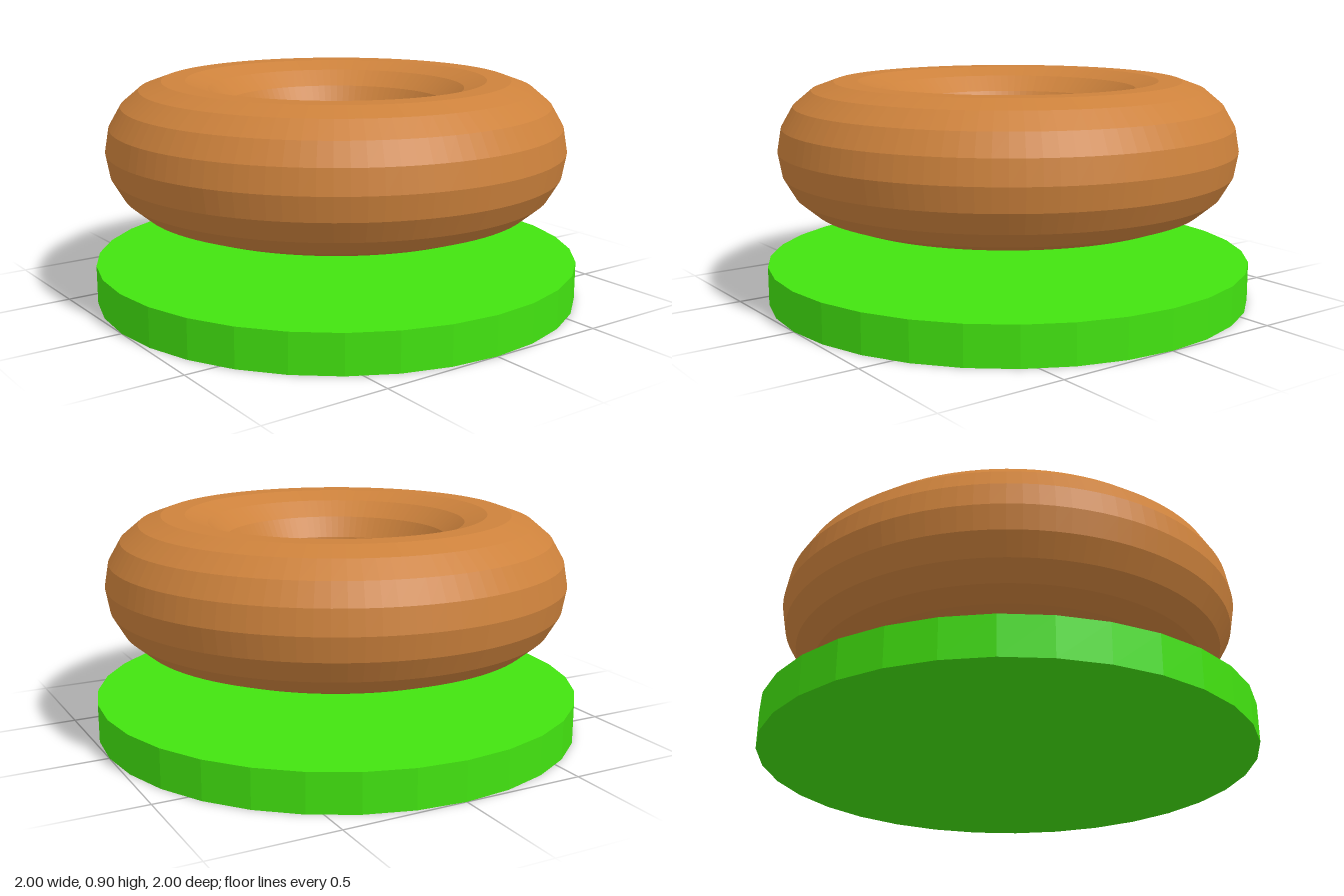
import * as THREE from 'three';

export function createModel() {
  const model = new THREE.Group();
  const flat = (name, color) => {
    const m = new THREE.MeshStandardMaterial({ color, flatShading: true });
    m.name = name;
    return m;
  };
  const add = (name, geometry, material, y) => {
    const mesh = new THREE.Mesh(geometry, material);
    mesh.name = name;
    mesh.position.y = y;
    model.add(mesh);
  };

  // Round base disc
  const height = 0.158;
  add('baseDisc', new THREE.CylinderGeometry(1, 1, height, 32), flat('green', 0x42e310), height / 2);

  // Ring floating above the disc, laid flat
  const ring = new THREE.TorusGeometry(0.665, 0.28, 18, 100).rotateX(-Math.PI / 2);
  add('ring', ring, flat('brown', 0xcd823c), 0.622);

  return model;
}
